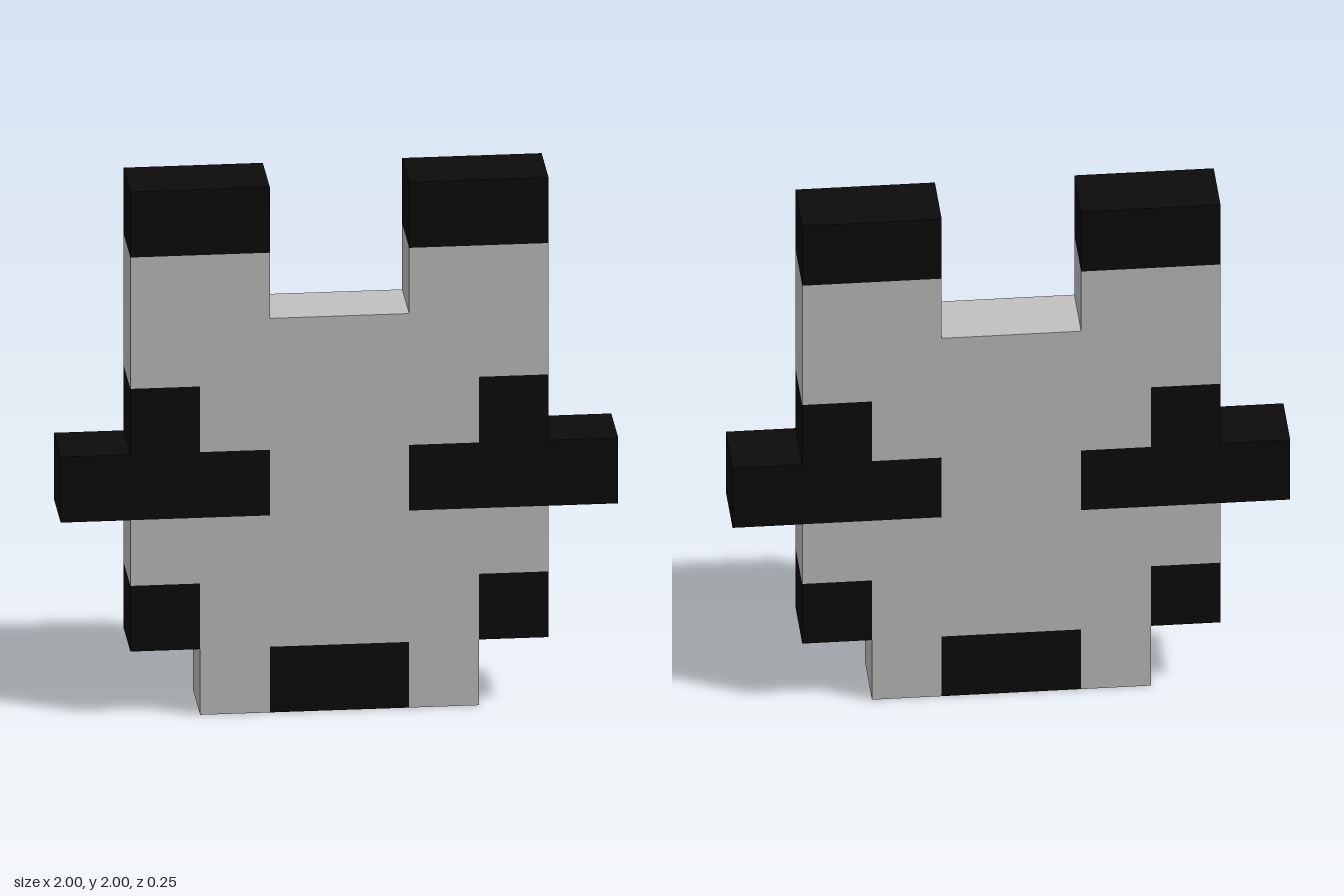
import * as THREE from 'three';

const DEPTH = 0.25;

export function createModel() {
  const model = new THREE.Group();
  model.name = 'blockFigure';

  const grey = new THREE.MeshStandardMaterial({ color: 0xc1c1c1 });
  grey.name = 'light grey';
  const black = new THREE.MeshStandardMaterial({ color: 0x0c0c0c });
  black.name = 'black';

  // Extrude an outline to the common thickness, centred on z = 0
  function slab(name, points, material) {
    const shape = new THREE.Shape(points.map(([x, y]) => new THREE.Vector2(x, y)));
    const geometry = new THREE.ExtrudeGeometry(shape, { depth: DEPTH, bevelEnabled: false });
    geometry.translate(0, 0, -DEPTH / 2);
    const mesh = new THREE.Mesh(geometry, material);
    mesh.name = name;
    model.add(mesh);
  }

  const mirror = (points) => points.map(([x, y]) => [-x, y]).reverse();

  function pair(name, points) {
    slab('left' + name, points, black);
    slab('right' + name, mirror(points), black);
  }

  const rect = (x0, y0, x1, y1) => [[x0, y0], [x1, y0], [x1, y1], [x0, y1]];

  // Grey body: half outline from the chin notch up to the gap between the ears
  const half = [
    [0.25, 0.25], [0.25, 0], [0.5, 0], [0.5, 0.5], [0.75, 0.5],
    [0.75, 0.75], [0.25, 0.75], [0.25, 1], [0.5, 1], [0.5, 1.25],
    [0.75, 1.25], [0.75, 1.75], [0.25, 1.75], [0.25, 1.5],
  ];
  slab('body', [...half, ...mirror(half)], grey);

  // Black ear tips, stepped side arms, lower corners and base block
  pair('EarTip', rect(0.25, 1.75, 0.75, 2));
  pair('Arm', [
    [0.25, 0.75], [1, 0.75], [1, 1], [0.75, 1],
    [0.75, 1.25], [0.5, 1.25], [0.5, 1], [0.25, 1],
  ]);
  pair('LowerCorner', rect(0.5, 0.25, 0.75, 0.5));
  slab('baseBlock', rect(-0.25, 0, 0.25, 0.25), black);

  return model;
}
